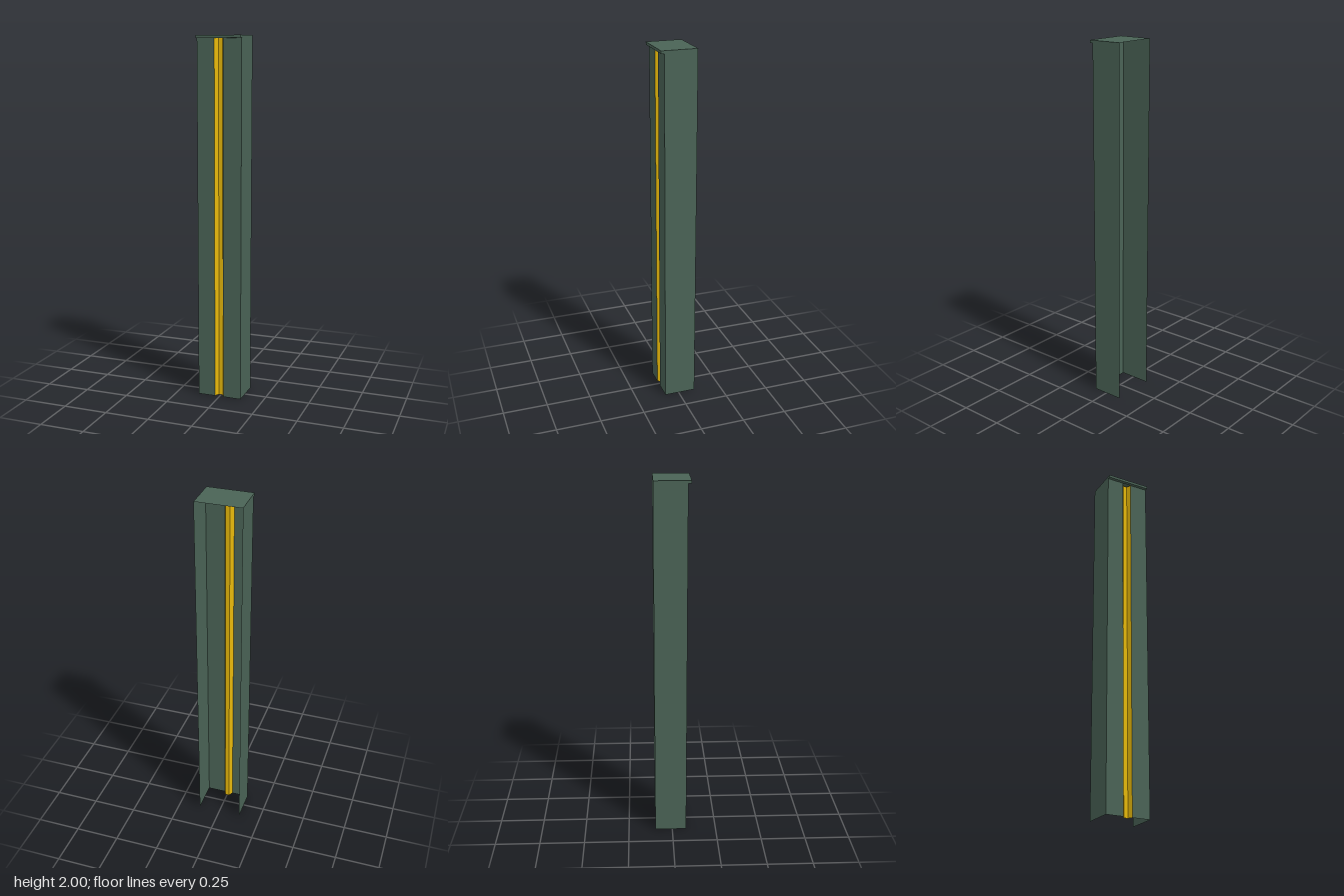
import * as THREE from 'three';

const H = 2, W = 0.125, BACK = -0.0975, FRONT = 0.08, LIP = 0.0975, LIP_H = 0.015;

const green = new THREE.MeshStandardMaterial({ color: 0x4a6356, side: THREE.DoubleSide, flatShading: true });
const yellow = new THREE.MeshStandardMaterial({ color: 0xe6b80a, side: THREE.DoubleSide, flatShading: true });

// Folded upright sheet following a plan outline of [x, z] points
function foldedSheet(name, outline, height, material) {
  const position = [];
  for (let i = 0; i < outline.length - 1; i++) {
    const [ax, az] = outline[i], [bx, bz] = outline[i + 1];
    position.push(ax, 0, az, bx, 0, bz, bx, height, bz);
    position.push(ax, 0, az, bx, height, bz, ax, height, az);
  }
  const geometry = new THREE.BufferGeometry();
  geometry.setAttribute('position', new THREE.Float32BufferAttribute(position, 3));
  geometry.computeVertexNormals();
  const mesh = new THREE.Mesh(geometry, material);
  mesh.name = name;
  return mesh;
}

export function createModel() {
  const group = new THREE.Group();
  group.name = 'channelPost';

  // Side walls folded into the front panels; the back stays open
  group.add(foldedSheet('rightCasing', [[-W, BACK], [-W, FRONT], [-0.027, FRONT]], H, green));
  group.add(foldedSheet('leftCasing', [[0.023, FRONT], [W, FRONT], [W, BACK]], H, green));

  // Recessed groove between the front panels
  const depth = FRONT - 0.025;
  group.add(foldedSheet('frontGroove',
    [[-0.027, FRONT], [-0.012, depth], [0.011, depth], [0.023, FRONT]], H - LIP_H, yellow));

  // Thin top sheet
  const top = new THREE.Mesh(new THREE.PlaneGeometry(2 * W, FRONT - BACK), green);
  top.name = 'topSheet';
  top.rotation.x = -Math.PI / 2;
  top.position.set(0, H, (FRONT + BACK) / 2);
  group.add(top);

  // Lip overhanging the front
  const lip = new THREE.Mesh(new THREE.BoxGeometry(2 * W, LIP_H, LIP - FRONT), green);
  lip.name = 'frontLip';
  lip.position.set(0, H - LIP_H / 2, (FRONT + LIP) / 2);
  group.add(lip);

  return group;
}
